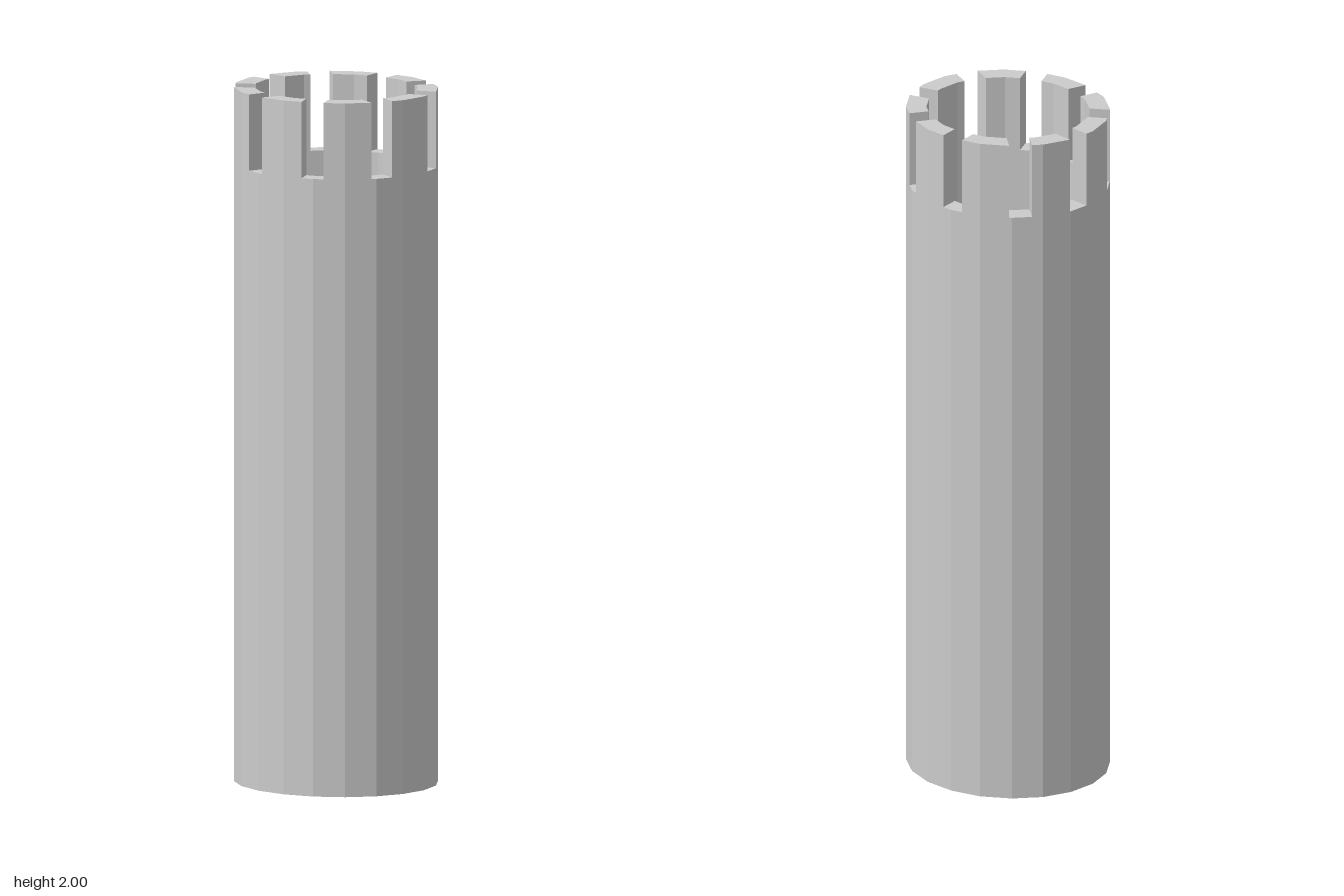
import * as THREE from 'three';

const RX = 0.282, RZ = 0.302;          // outer half widths
const SIDES = 20, TURN = THREE.MathUtils.degToRad(4.35);
const INNER = 0.8;                     // inner wall relative to outer wall
const SLOT_BASE = 1.78, TOP = 2, FLOOR = 1.45;
const SLOT_WIDTH = 0.065;
// Slot directions in degrees, clockwise from the back seen from above
const SLOTS = [-1.5, 33.5, 75, 115.5, 156.3, 197.3, 237.3, 279, 320];

// Corners of the 20-sided plan (second coordinate points to the back)
const ring = (scale) => Array.from({ length: SIDES }, (_, k) => {
  const t = TURN + (k / SIDES) * Math.PI * 2;
  return new THREE.Vector2(RX * scale * Math.sin(t), RZ * scale * Math.cos(t));
});

const heading = (p) => Math.atan2(p.x, p.y);
const sweep = (from, to) => THREE.MathUtils.euclideanModulo(to - from, Math.PI * 2);

// Point where one side wall of a slot crosses the ring
function slotCorner(corners, degrees, offset) {
  const a = THREE.MathUtils.degToRad(degrees);
  const d = new THREE.Vector2(Math.sin(a), Math.cos(a));
  const n = new THREE.Vector2(d.y, -d.x);
  for (let i = 0; i < SIDES; i++) {
    const p = corners[i], q = corners[(i + 1) % SIDES];
    const u = p.dot(n) - offset, v = q.dot(n) - offset;
    if (u * v <= 0 && u !== v && p.dot(d) > 0) return p.clone().lerp(q, u / (u - v));
  }
}

// Part of the ring between two neighbouring slots
function arc(scale, from, to) {
  const corners = ring(scale);
  const start = slotCorner(corners, from, SLOT_WIDTH / 2);
  const end = slotCorner(corners, to, -SLOT_WIDTH / 2);
  const a = heading(start), span = sweep(a, heading(end));
  const between = corners
    .filter((p) => sweep(a, heading(p)) < span)
    .sort((p, q) => sweep(a, heading(p)) - sweep(a, heading(q)));
  return [start, ...between, end];
}

export function createModel() {
  const model = new THREE.Group();
  model.name = 'tower';
  const material = new THREE.MeshStandardMaterial({ color: 0xcccccc, flatShading: true });

  // Shaft with a recessed floor, up to the bottom of the slots
  const profile = [[0, 0], [1, 0], [1, SLOT_BASE], [INNER, SLOT_BASE], [INNER, FLOOR], [0, FLOOR]]
    .map(([r, y]) => new THREE.Vector2(r, y));
  const shaftGeometry = new THREE.LatheGeometry(profile, SIDES, -TURN);
  shaftGeometry.scale(RX, 1, RZ);
  const shaft = new THREE.Mesh(shaftGeometry, material);
  shaft.name = 'shaft';
  model.add(shaft);

  // Battlements between the slots
  const battlements = new THREE.Group();
  battlements.name = 'battlements';
  SLOTS.forEach((from, i) => {
    const to = SLOTS[(i + 1) % SLOTS.length];
    const outline = [...arc(1, from, to), ...arc(INNER, from, to).reverse()];
    const geometry = new THREE.ExtrudeGeometry(new THREE.Shape(outline), {
      depth: TOP - SLOT_BASE, bevelEnabled: false,
    });
    geometry.rotateX(-Math.PI / 2);
    const merlon = new THREE.Mesh(geometry, material);
    merlon.position.y = SLOT_BASE;
    merlon.name = `merlon${i + 1}`;
    battlements.add(merlon);
  });
  model.add(battlements);

  return model;
}
